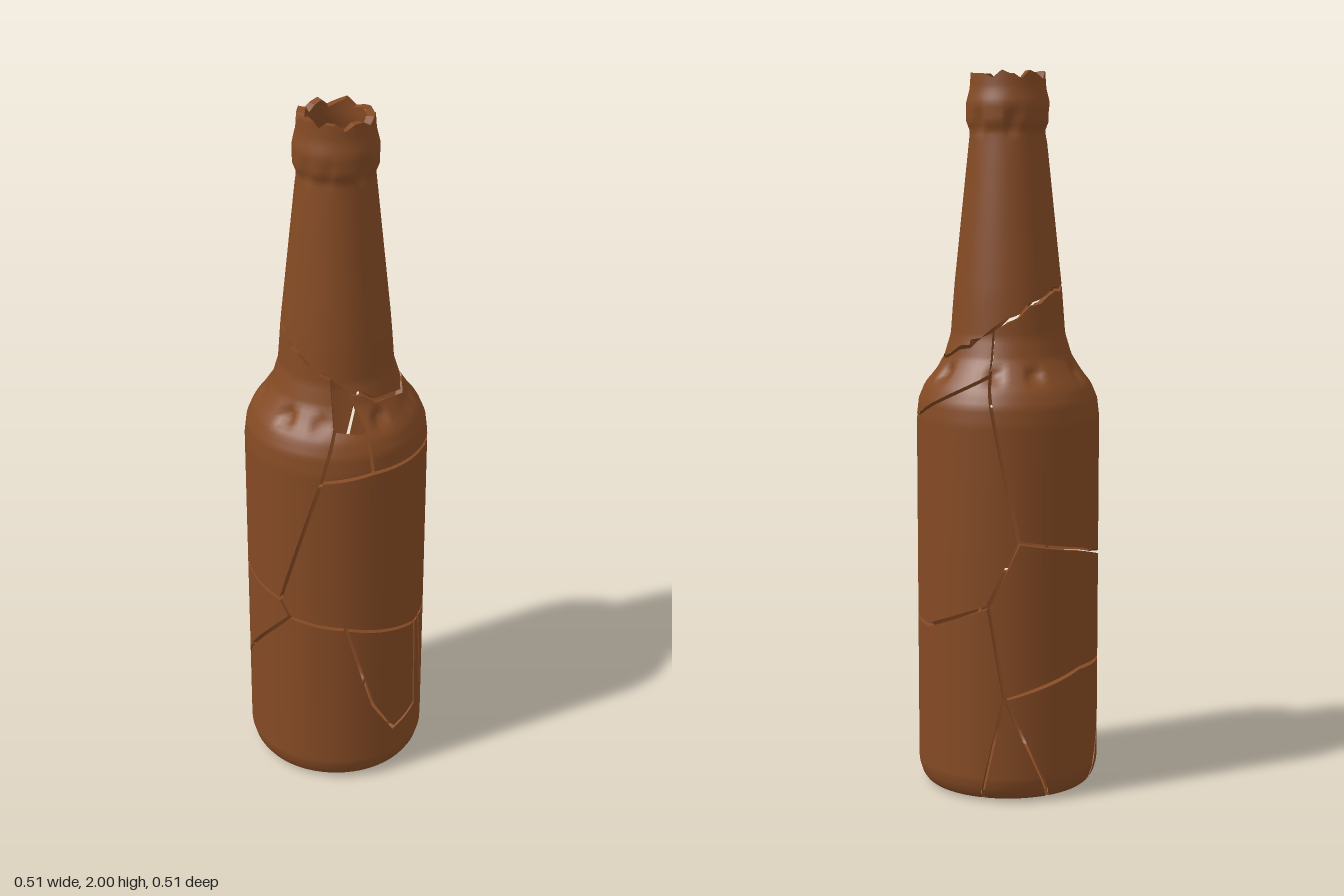
import * as THREE from 'three';

const RAD = Math.PI / 180, R = 0.255, WALL = 0.022, GAP = 0.005, POLE = -0.25;

// bottle profile: [v, radius, height]; negative v runs across the base
const profile = [
  [-0.25, 0.002, 0.012], [-0.05, 0.205, 0], [0, 0.232, 0.008], [0.02, 0.245, 0.028], [0.05, 0.254, 0.06],
  [1.05, 0.255, 1.05], [1.1, 0.249, 1.1], [1.14, 0.232, 1.14], [1.18, 0.203, 1.18], [1.22, 0.177, 1.22],
  [1.28, 0.159, 1.28], [1.4, 0.15, 1.4], [1.81, 0.107, 1.81], [1.835, 0.105, 1.835], [1.86, 0.115, 1.86],
  [1.91, 0.115, 1.91], [1.95, 0.105, 1.95], [2.02, 0.1, 2.02],
];

// point on the outer surface, a in degrees (0 = front, 90 = +x)
function surface(a, v) {
  let i = 0;
  while (i < profile.length - 2 && v > profile[i + 1][0]) i++;
  const [p, q] = [profile[i], profile[i + 1]];
  const t = (v - p[0]) / (q[0] - p[0]), w = a * RAD;
  let r = p[1] + (q[1] - p[1]) * t;
  // chipped dents around the shoulder and the lip
  const chip = Math.max(0, Math.sin(9 * w + 1) + 0.7 * Math.sin(14 * w));
  r -= 0.011 * chip * Math.exp(-(((v - 1.18) / 0.02) ** 2));
  r -= 0.007 * Math.max(0, Math.sin(5 * w) + Math.sin(8 * w + 2)) * Math.exp(-(((v - 1.86) / 0.03) ** 2));
  return new THREE.Vector3(r * Math.sin(w), p[2] + (q[2] - p[2]) * t, r * Math.cos(w));
}

function normalAt(a, v) {
  const da = surface(a + 2, v).sub(surface(a - 2, v));
  const dv = surface(a, v + 0.01).sub(surface(a, v - 0.01));
  return da.cross(dv).normalize();
}

// neck break line, a tilted ring
const neckBreak = (a) => 1.31 + 0.1 * Math.cos((a + 60) * RAD) + 0.007 * Math.sin(a * 0.2);
function breakLine(from, to, n, lift = 0) {
  return Array.from({ length: n + 1 }, (_, i) => {
    const a = from + ((to - from) * i) / n;
    return [a, neckBreak(a) + lift];
  });
}

// rows of the surface grid, finer on the base, shoulder and lip
const rows = [];
function addRows(from, to, n) {
  for (let i = 0; i < n; i++) rows.push(from + ((to - from) * i) / n);
}
addRows(-0.25, -0.05, 3);
addRows(-0.05, 0.06, 8);
addRows(0.06, 1.04, 6);
addRows(1.04, 1.3, 22);
addRows(1.3, 1.8, 8);
addRows(1.8, 2.02, 18);
rows.push(2.02);

const cross = (a, b, p) => (b[0] - a[0]) * (p[1] - a[1]) - (b[1] - a[1]) * (p[0] - a[0]);

// clip a polygon to a counter-clockwise triangle
function clip(poly, tri) {
  for (let k = 0; k < 3 && poly.length; k++) {
    const a = tri[k], b = tri[(k + 1) % 3], out = [];
    poly.forEach((p, i) => {
      const q = poly[(i + 1) % poly.length], dp = cross(a, b, p), dq = cross(a, b, q);
      if (dp >= 0) out.push(p);
      if ((dp > 0 && dq < 0) || (dp < 0 && dq > 0)) {
        const t = dp / (dp - dq);
        out.push([p[0] + (q[0] - p[0]) * t, p[1] + (q[1] - p[1]) * t]);
      }
    });
    poly = out;
  }
  return poly;
}

// move every edge inwards to open the cracks
function inset(poly) {
  const n = poly.length, k = RAD * R;
  const edgeNormal = (p, q) => new THREE.Vector2(p[1] - q[1], (q[0] - p[0]) * k).normalize();
  return poly.map((p, i) => {
    const n1 = edgeNormal(poly[(i + n - 1) % n], p), n2 = edgeNormal(p, poly[(i + 1) % n]);
    const s = GAP / Math.max(0.3, 1 + n1.dot(n2));
    return [p[0] + ((n1.x + n2.x) * s) / k, p[1] <= POLE ? POLE : p[1] + (n1.y + n2.y) * s];
  });
}

// curved glass shard from an outline of [angle, v] points, counter-clockwise from outside
function shard(outline, ring) {
  const poly = ring ? outline : inset(outline);
  const pos = [], nor = [];
  const cache = new Map();
  const point = ([a, v]) => {
    const key = a.toFixed(3) + '/' + v.toFixed(4);
    if (!cache.has(key)) {
      const n = normalAt(a, v), o = surface(a, v);
      cache.set(key, { n, o, i: o.clone().addScaledVector(n, -WALL) });
    }
    return cache.get(key);
  };
  const put = (p, n) => { pos.push(p.x, p.y, p.z); nor.push(n.x, n.y, n.z); };

  // outer and inner skins
  const flat = poly.map((p) => new THREE.Vector2(...p));
  for (const face of THREE.ShapeUtils.triangulateShape(flat, [])) {
    const tri = face.map((i) => poly[i]);
    if (cross(...tri) < 0) tri.reverse();
    const as = tri.map((p) => p[0]), vs = tri.map((p) => p[1]);
    for (let a = Math.floor(Math.min(...as) / 6) * 6; a < Math.max(...as); a += 6) {
      for (let j = 0; j < rows.length - 1; j++) {
        const lo = rows[j], hi = rows[j + 1];
        if (hi < Math.min(...vs) || lo > Math.max(...vs)) continue;
        const piece = clip([[a, lo], [a + 6, lo], [a + 6, hi], [a, hi]], tri).map(point);
        for (let k = 1; k < piece.length - 1; k++) {
          const t = [piece[0], piece[k], piece[k + 1]];
          t.forEach((c) => put(c.o, c.n));
          t.reverse().forEach((c) => put(c.i, c.n.clone().negate()));
        }
      }
    }
  }

  // broken edges
  poly.forEach((p, i) => {
    const q = poly[(i + 1) % poly.length];
    if (ring && Math.abs(p[0]) === 180 && p[0] === q[0]) return;
    const n = Math.ceil(Math.max(Math.abs(q[0] - p[0]) / 6, Math.abs(q[1] - p[1]) / 0.04));
    for (let k = 0; k < n; k++) {
      const at = (t) => point([p[0] + (q[0] - p[0]) * t, p[1] + (q[1] - p[1]) * t]);
      const s = at(k / n), e = at((k + 1) / n);
      const normal = s.i.clone().sub(s.o).cross(e.i.clone().sub(s.o)).normalize();
      [s.o, s.i, e.i, s.o, e.i, e.o].forEach((c) => put(c, normal));
    }
  });

  const geo = new THREE.BufferGeometry();
  geo.setAttribute('position', new THREE.Float32BufferAttribute(pos, 3));
  geo.setAttribute('normal', new THREE.Float32BufferAttribute(nor, 3));
  return geo;
}

export function createModel() {
  const brownGlass = new THREE.MeshStandardMaterial({ color: 0x844a24 });
  brownGlass.name = 'brownGlass';

  // jagged mouth
  const rim = Array.from({ length: 25 }, (_, i) => [
    180 - i * 15, i % 24 === 0 ? 1.985 : 1.987 + 0.008 * Math.sin(i * 2.1) + 0.005 * Math.sin(i * 4.3 + 1),
  ]);

  const shards = {
    frontBase: [[-28, 0.35], [-52, 0.2], [-70, 0.05], [-80, POLE], [132, POLE], [132, 0], [124, 0.2], [115, 0.48],
      [109, 0.475], [111, 0.17], [88, 0.14], [72, 0.25], [53, 0.54], [16, 0.56]],
    rightChip: [[53, 0.54], [72, 0.25], [88, 0.14], [111, 0.17], [109, 0.475]],
    backRightBase: [[132, POLE], [202, POLE], [202, 0], [217, 0.29], [207, 0.55], [160, 0.47], [115, 0.48],
      [124, 0.2], [132, 0]],
    backBase: [[202, POLE], [247, POLE], [247, 0], [217, 0.29], [202, 0]],
    leftBase: [[247, POLE], [280, POLE], [290, 0.05], [308, 0.2], [332, 0.35], [270, 0.355], [217, 0.29], [247, 0]],
    leftMiddle: [[217, 0.29], [270, 0.355], [332, 0.35], [376, 0.56], [369, 0.61], [320, 0.64], [275, 0.69],
      [226, 0.73], [207, 0.55]],
    rightBody: [[9, 0.61], [16, 0.56], [53, 0.54], [109, 0.475], [115, 0.48], [160, 0.47], [207, 0.55], [226, 0.73],
      [205, 1.18], [175, 1.12], [140, 1.05], [70, 1.05], [38, 1.03]],
    leftBody: [[9, 0.61], [38, 1.03], [46, 1.17], ...breakLine(42, -155, 16), [-155, 1.18], [-134, 0.73],
      [-85, 0.69], [-40, 0.64]],
    shoulderChip: [[38, 1.03], [70, 1.05], [68, 1.16], [46, 1.17]],
    shoulder: [[70, 1.05], [140, 1.05], [175, 1.12], [205, 1.18], ...breakLine(205, 60, 12), [68, 1.16]],
    neck: [...breakLine(-180, 180, 30, 0.006), ...rim],
  };

  const model = new THREE.Group();
  model.name = 'brokenBottle';
  for (const [name, outline] of Object.entries(shards)) {
    const mesh = new THREE.Mesh(shard(outline, name === 'neck'), brownGlass);
    mesh.name = name;
    model.add(mesh);
  }
  return model;
}
